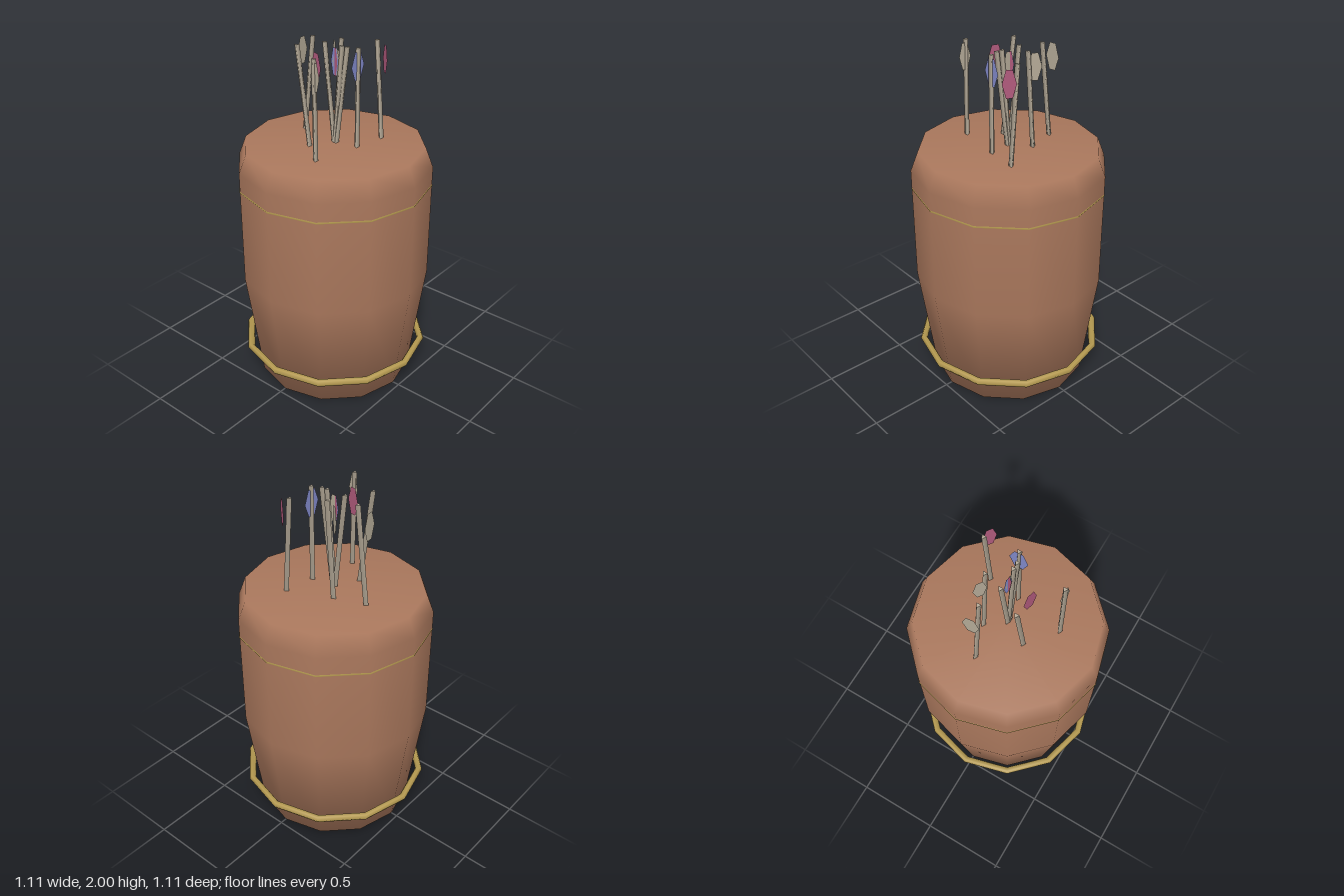
import * as THREE from 'three';

export function createModel() {
  const mat = (name, color, side = THREE.FrontSide) => {
    const m = new THREE.MeshStandardMaterial({ color, side });
    m.name = name;
    return m;
  };
  const leather = mat('leather', 0xa9775c);
  const brass = mat('brass', 0xb59a50);
  const wood = mat('paleWood', 0xb5aa98);
  const vaneMats = {
    pale: mat('paleFeather', 0xb3a996, THREE.DoubleSide),
    red: mat('redFeather', 0xb05a7c, THREE.DoubleSide),
    blue: mat('blueFeather', 0x8088c8, THREE.DoubleSide),
  };

  const model = new THREE.Group();
  model.name = 'quiver';
  const add = (parent, name, geometry, material) => {
    const mesh = new THREE.Mesh(geometry, material);
    mesh.name = name;
    parent.add(mesh);
    return mesh;
  };

  // Closed twelve-sided barrel with soft shading
  const profile = [[0, 0], [0.46, 0], [0.55, 0.665], [0.55, 1.335], [0.507, 1.445], [0, 1.445]];
  const body = new THREE.LatheGeometry(profile.map(([r, y]) => new THREE.Vector2(r, y)), 12);
  add(model, 'body', body, leather);

  // Brass hoops: the upper one is almost sunk into the barrel
  const hoop = new THREE.TorusGeometry(0.532, 0.021, 6, 12).rotateX(Math.PI / 2);
  add(model, 'lowerHoop', hoop, brass).position.y = 0.18;
  add(model, 'upperHoop', hoop, brass).position.y = 1.225;

  // Six-cornered feather outline
  const featherShape = (w) => new THREE.Shape([
    [w, 0], [w * 0.45, 0.076], [-w * 0.45, 0.076], [-w, 0], [-w * 0.45, -0.076], [w * 0.45, -0.076],
  ].map(([x, y]) => new THREE.Vector2(x, y)));

  // Arrows: x, z where the shaft leaves the barrel, z at its top,
  // then the feather's colour, z, half width and turn about y
  const arrows = [
    [-0.262, 0.088, 0.081, 'pale', 0.09, 0.035, 1.4],
    [-0.132, -0.07, -0.148, 'red', -0.015, 0.044, 1.3],
    [0, -0.005, -0.07, 'blue', 0, 0.03, 1.4],
    [0, 0.012, 0.085, 'pale', 0.01, 0.025, 1.5],
    [0, -0.002, 0.05, 'red', 0, 0.025, 1.3],
    [0.022, 0.14, 0.14, 'blue', 0.14, 0.053, 0],
    [0.046, -0.258, -0.193, 'pale', -0.268, 0.045, 0.1],
    [0.104, -0.082, -0.04, 'pale', -0.088, 0.038, 0.95],
    [0.208, 0.165, 0.122, 'red', 0.178, 0.038, 0.95],
  ];
  const rim = 1.445, bottom = 1.2;
  for (const [x, zRim, zTop, colour, zVane, width, turn] of arrows) {
    const arrow = new THREE.Group();
    arrow.name = 'arrow';
    model.add(arrow);

    // Three-sided shaft, leaning from its foot inside the barrel to the top
    const slope = (zTop - zRim) / (2 - rim);
    const shaftGeo = new THREE.CylinderGeometry(0.0155, 0.0155, 2 - bottom, 3).rotateY(Math.PI);
    shaftGeo.applyMatrix4(new THREE.Matrix4().set(
      1, 0, 0, x,
      0, 1, 0, (2 + bottom) / 2,
      0, slope, 1, zTop - slope * (2 - bottom) / 2,
      0, 0, 0, 1));
    add(arrow, 'shaft', shaftGeo, wood);

    // Flat feather
    const vane = add(arrow, 'feather', new THREE.ShapeGeometry(featherShape(width)), vaneMats[colour]);
    vane.position.set(x, 1.904, zVane);
    vane.rotation.y = turn;
  }
  return model;
}
